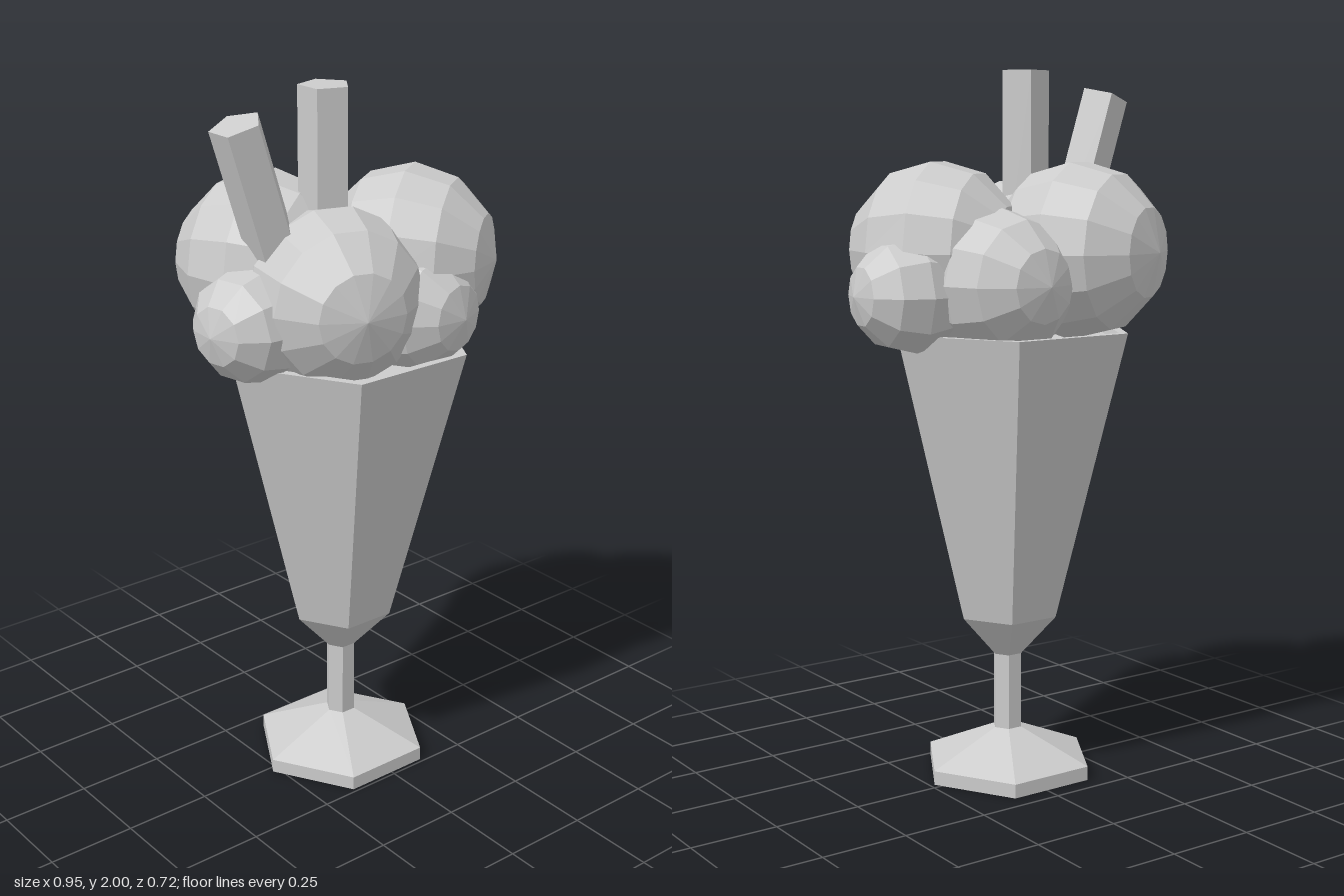
import * as THREE from 'three';

const material = new THREE.MeshStandardMaterial({ color: 0xcccccc, flatShading: true });

function part(name, geometry, x, y, z) {
  const mesh = new THREE.Mesh(geometry, material);
  mesh.name = name;
  mesh.position.set(x, y, z);
  return mesh;
}

// A scoop is a faceted ball whose pole lies level, turned by yaw from +z
function scoop(name, radius, x, y, z, yaw, sides) {
  const ball = new THREE.SphereGeometry(radius, sides, 6);
  ball.rotateX(Math.PI / 2).rotateY(yaw);
  return part(name, ball, x, y, z);
}

// A wafer stick is a five-sided bar hanging from its top centre
function stick(name, length, x, y, z, tilt) {
  const bar = new THREE.CylinderGeometry(0.071, 0.071, length, 5);
  bar.rotateY(Math.PI / 2).translate(0, -length / 2, 0);
  const mesh = part(name, bar, x, y, z);
  mesh.rotation.z = tilt;
  return mesh;
}

export function createModel() {
  const model = new THREE.Group();
  model.name = 'iceCreamSundae';

  // Six-sided footed glass: foot, stem, bowl and rim
  const profile = [
    [0, 0], [0.253, 0], [0.253, 0.04], [0.043, 0.13], [0.043, 0.35],
    [0.151, 0.47], [0.362, 1.29], [0.335, 1.29], [0.325, 1.265], [0, 1.265],
  ].map(([r, y]) => new THREE.Vector2(r, y));
  const glass = new THREE.LatheGeometry(profile, 6).rotateY(Math.PI / 2);
  model.add(part('glass', glass, -0.017, 0, 0.02));

  // Ice cream: three large scoops above a ring of smaller ones
  const scoops = new THREE.Group();
  scoops.name = 'scoops';
  scoops.add(
    scoop('frontLeftScoop', 0.245, 0.175, 1.513, 0.078, 0.6, 14),
    scoop('backRightScoop', 0.248, -0.16, 1.508, -0.118, 0.45, 14),
    scoop('frontRightScoop', 0.242, -0.118, 1.458, 0.116, -0.3, 14),
    scoop('backLeftScoop', 0.2, 0.1, 1.43, -0.122, 0.1, 12),
    scoop('frontSmallScoop', 0.18, 0.1, 1.4, 0.182, 0.2, 12),
    scoop('leftSmallScoop', 0.162, 0.316, 1.4, 0.008, Math.PI / 2 - 0.1, 10),
    scoop('rightSmallScoop', 0.16, -0.32, 1.4, 0.03, Math.PI / 2 + 0.2, 10),
  );
  model.add(scoops);

  // Two wafer sticks, one upright and one leaning outward
  model.add(stick('uprightWafer', 0.6, -0.087, 2, 0.043, 0));
  model.add(stick('leaningWafer', 0.6, -0.368, 1.934, 0.043, 0.31));

  return model;
}
